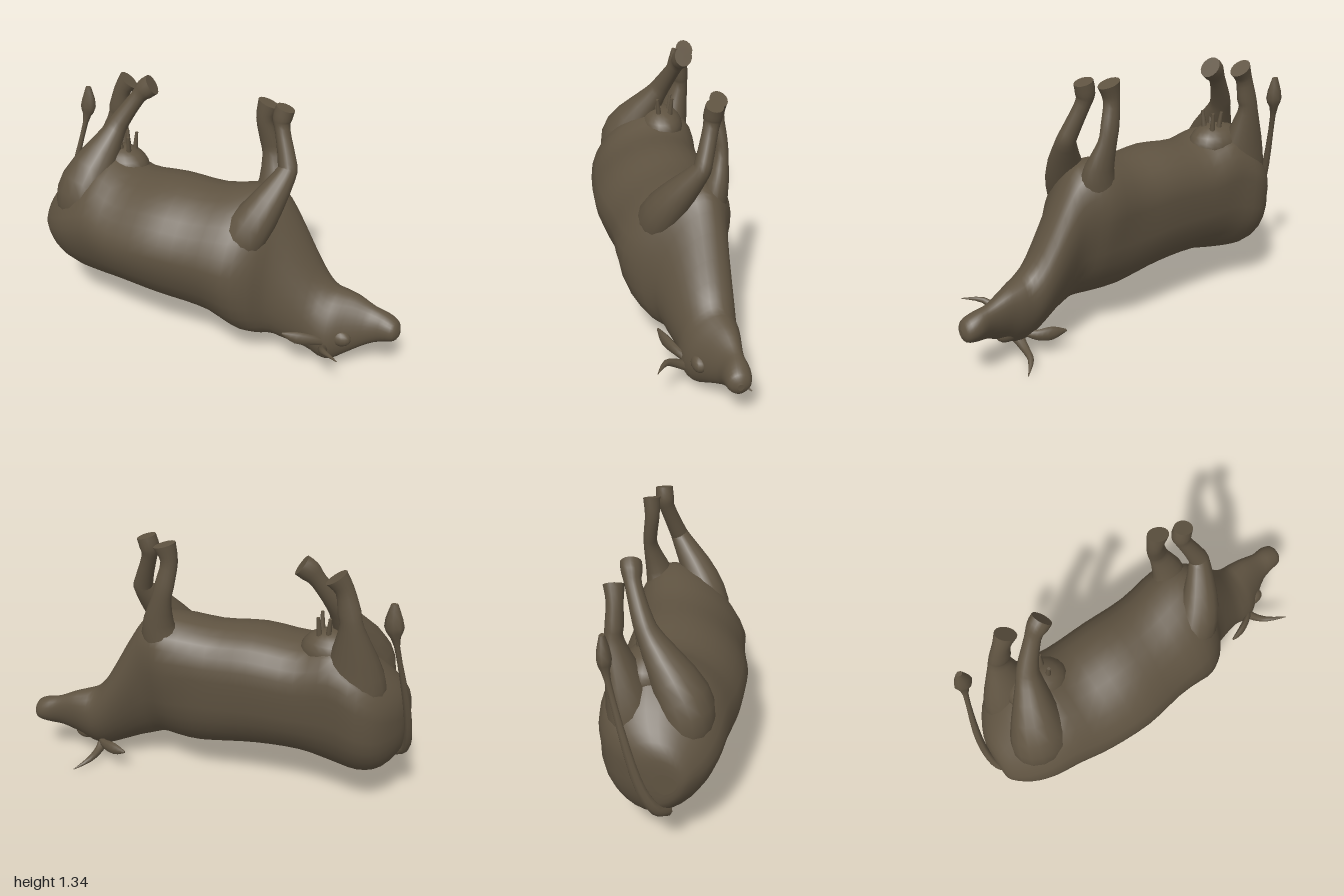
import * as THREE from 'three';

const hide = new THREE.MeshStandardMaterial({ color: 0x5f5341 });
hide.name = 'brown hide';

// Catmull-Rom interpolation of every column of a profile
function smooth(rows, k) {
  const out = [];
  const at = i => rows[Math.min(Math.max(i, 0), rows.length - 1)];
  for (let i = 0; i < rows.length - 1; i++) {
    for (let s = 0; s < k; s++) {
      const t = s / k;
      out.push(rows[i].map((b, c) => {
        const a = at(i - 1)[c], d = at(i + 1)[c], e = at(i + 2)[c];
        return b + 0.5 * t * (d - a + t * (2 * a - 5 * b + 4 * d - e + t * (3 * (b - d) + e - a)));
      }));
    }
  }
  out.push(rows[rows.length - 1]);
  return out;
}

// Skin over closed rings of points, with crisp caps at both ends
function loft(rings) {
  const n = rings[0].length, pos = [], idx = [];
  rings.forEach(r => r.forEach(p => pos.push(p.x, p.y, p.z)));
  for (let i = 0; i < rings.length - 1; i++) {
    for (let j = 0; j < n; j++) {
      const a = i * n + j, b = i * n + (j + 1) % n;
      idx.push(a, b, a + n, b, b + n, a + n);
    }
  }
  [rings[0], rings[rings.length - 1]].forEach((ring, end) => {
    const base = pos.length / 3;
    const mid = new THREE.Vector3();
    ring.forEach(p => { pos.push(p.x, p.y, p.z); mid.addScaledVector(p, 1 / n); });
    pos.push(mid.x, mid.y, mid.z);
    for (let j = 0; j < n; j++) {
      const a = base + j, b = base + (j + 1) % n;
      if (end) idx.push(a, b, base + n); else idx.push(b, a, base + n);
    }
  });
  const g = new THREE.BufferGeometry();
  g.setAttribute('position', new THREE.Float32BufferAttribute(pos, 3));
  g.setIndex(idx);
  g.computeVertexNormals();
  return g;
}

// Oval tube through rows of [x, y, z, radius along ref, radius across]
function limb(rows, n = 16, ref = new THREE.Vector3(1, 0, 0)) {
  const r = smooth(rows, 3);
  const pts = r.map(q => new THREE.Vector3(q[0], q[1], q[2]));
  return loft(r.map((q, i) => {
    const w = pts[Math.min(i + 1, r.length - 1)].clone().sub(pts[Math.max(i - 1, 0)]).normalize();
    const u = ref.clone().addScaledVector(w, -ref.dot(w)).normalize();
    const v = u.clone().cross(w);
    return Array.from({ length: n }, (_, j) => {
      const a = j / n * Math.PI * 2;
      return pts[i].clone().addScaledVector(v, q[4] * Math.cos(a)).addScaledVector(u, q[3] * Math.sin(a));
    });
  }));
}

// Body rows of [x, low y, high y, min z, max z, lean of z with height]; the
// barrel is widest above its middle, with an upright, pointed lower half
function torso(rows, n = 28) {
  return loft(smooth(rows, 3).map(([x, y0, y1, z0, z1, lean]) => {
    const barrel = THREE.MathUtils.clamp((0.45 - x) / 0.35, 0, 1);
    const ym = y0 + (y1 - y0) * (0.5 + 0.07 * barrel);
    return Array.from({ length: n }, (_, j) => {
      const a = j / n * Math.PI * 2, c = Math.cos(a), s = Math.sin(a);
      const y = c * (c > 0 ? y1 - ym : ym - y0);
      const side = Math.sign(s) * Math.abs(s) ** (c > 0 ? 1 : 1.2);
      const tilt = c > 0 ? lean : lean + 0.3 * barrel;
      return new THREE.Vector3(x, ym + y, (z0 + z1) / 2 + (z1 - z0) / 2 * side + y * tilt);
    });
  }));
}

export function createModel() {
  const model = new THREE.Group();
  model.name = 'upturnedCow';
  const add = (name, geometry) => {
    const m = new THREE.Mesh(geometry, hide);
    m.name = name;
    model.add(m);
    return m;
  };

  // Rump, barrel, neck and head in one skin
  add('body', torso([
    [-0.965, 0.42, 0.53, -0.03, 0.08, -0.2],
    [-0.95, 0.33, 0.64, -0.12, 0.13, -0.2],
    [-0.87, 0.235, 0.74, -0.25, 0.2, -0.2],
    [-0.76, 0.2, 0.84, -0.305, 0.25, -0.22],
    [-0.62, 0.205, 0.92, -0.29, 0.275, -0.25],
    [-0.45, 0.23, 0.87, -0.28, 0.3, -0.25],
    [-0.22, 0.22, 0.89, -0.28, 0.308, -0.25],
    [0, 0.195, 0.885, -0.28, 0.27, -0.25],
    [0.2, 0.165, 0.92, -0.29, 0.25, -0.3],
    [0.31, 0.16, 0.91, -0.255, 0.18, -0.28],
    [0.39, 0.15, 0.83, -0.24, 0.09, -0.22],
    [0.55, 0.1, 0.55, -0.245, 0.03, -0.2],
    [0.63, 0.07, 0.455, -0.24, 0.025, -0.22],
    [0.69, 0.075, 0.43, -0.235, 0.008, -0.28],
    [0.76, 0.12, 0.41, -0.225, -0.045, -0.3],
    [0.85, 0.175, 0.37, -0.22, -0.1, -0.25],
    [0.92, 0.2, 0.352, -0.238, -0.11, -0.1],
    [0.975, 0.217, 0.325, -0.228, -0.122, 0],
    [0.995, 0.25, 0.285, -0.19, -0.16, 0],
  ]));

  // Legs, from deep inside the body up to the hoof soles
  add('leftHindLeg', limb([
    [-0.71, 0.42, 0.05, 0.08, 0.07], [-0.72, 0.62, 0.085, 0.15, 0.12], [-0.71, 0.78, 0.06, 0.14, 0.125],
    [-0.64, 1.0, -0.08, 0.07, 0.062], [-0.61, 1.08, -0.125, 0.053, 0.048], [-0.53, 1.21, -0.18, 0.041, 0.038],
    [-0.49, 1.258, -0.195, 0.055, 0.046], [-0.455, 1.285, -0.205, 0.055, 0.048]]));
  add('rightHindLeg', limb([
    [-0.71, 0.42, -0.1, 0.08, 0.07], [-0.72, 0.62, -0.155, 0.15, 0.12], [-0.72, 0.78, -0.18, 0.14, 0.1],
    [-0.705, 1.02, -0.235, 0.06, 0.045], [-0.69, 1.1, -0.235, 0.055, 0.042],
    [-0.665, 1.2, -0.235, 0.045, 0.038], [-0.625, 1.262, -0.245, 0.058, 0.046]]));
  add('leftFrontLeg', limb([
    [0.13, 0.5, 0.03, 0.07, 0.06], [0.2, 0.68, 0.065, 0.12, 0.1], [0.285, 0.84, 0.005, 0.1, 0.09],
    [0.36, 1.02, -0.11, 0.055, 0.05], [0.355, 1.08, -0.135, 0.046, 0.042],
    [0.305, 1.22, -0.175, 0.037, 0.038], [0.297, 1.275, -0.185, 0.048, 0.045], [0.31, 1.33, -0.19, 0.048, 0.042]]));
  add('rightFrontLeg', limb([
    [0.13, 0.5, -0.1, 0.07, 0.06], [0.2, 0.7, -0.165, 0.12, 0.1], [0.25, 0.86, -0.21, 0.09, 0.07],
    [0.22, 1.03, -0.247, 0.052, 0.037], [0.2, 1.12, -0.245, 0.048, 0.035],
    [0.18, 1.23, -0.23, 0.042, 0.037], [0.2, 1.315, -0.235, 0.058, 0.042]]));

  // Tail with its tuft
  add('tail', limb([
    [-0.9, 0.28, 0.02, 0.03, 0.03], [-0.962, 0.33, -0.02, 0.024, 0.03], [-0.98, 0.45, -0.08, 0.02, 0.026],
    [-0.965, 0.65, -0.14, 0.018, 0.02], [-0.912, 0.96, -0.22, 0.014, 0.015],
    [-0.895, 1.06, -0.235, 0.046, 0.034], [-0.89, 1.17, -0.24, 0.016, 0.012]], 8));

  // Horns
  const up = new THREE.Vector3(0, 1, 0);
  add('leftHorn', limb([
    [0.66, 0.14, -0.04, 0.035, 0.03], [0.675, 0.185, 0.04, 0.024, 0.022],
    [0.715, 0.23, 0.11, 0.015, 0.015], [0.805, 0.245, 0.165, 0.002, 0.002]], 8, up));
  add('rightHorn', limb([
    [0.65, 0.11, -0.07, 0.04, 0.035], [0.65, 0.065, -0.15, 0.024, 0.022],
    [0.67, 0.042, -0.24, 0.015, 0.015], [0.73, 0.01, -0.31, 0.002, 0.002]], 8, up));

  // Leaf-shaped ears
  add('leftEar', limb([
    [0.67, 0.2, 0.0, 0.015, 0.015], [0.63, 0.225, 0.04, 0.028, 0.016],
    [0.55, 0.24, 0.085, 0.036, 0.018], [0.48, 0.255, 0.105, 0.006, 0.006]], 8, up));
  add('rightEar', limb([
    [0.64, 0.14, -0.15, 0.015, 0.015], [0.6, 0.13, -0.19, 0.028, 0.016],
    [0.53, 0.13, -0.22, 0.036, 0.018], [0.46, 0.13, -0.235, 0.006, 0.006]], 8, up));

  // Brow swellings
  [[0.73, 0.225, -0.045], [0.73, 0.16, -0.13]].forEach((p, i) => {
    const brow = add(i ? 'rightBrow' : 'leftBrow', new THREE.SphereGeometry(1, 16, 10));
    brow.position.set(...p);
    brow.scale.set(0.06, 0.045, 0.04);
  });

  // Udder and teats
  const udder = add('udder', new THREE.SphereGeometry(1, 20, 12));
  udder.position.set(-0.6, 0.84, -0.11);
  udder.scale.set(0.16, 0.11, 0.12);
  for (const dx of [-0.025, 0.025]) {
    for (const dz of [-0.035, 0.035]) {
      const teat = add('teat', new THREE.CylinderGeometry(0.008, 0.015, 0.1, 8));
      teat.position.set(-0.56 + dx, 0.97, -0.12 + dz);
      teat.rotation.set(dz * 3, 0, -dx * 3);
    }
  }
  return model;
}
